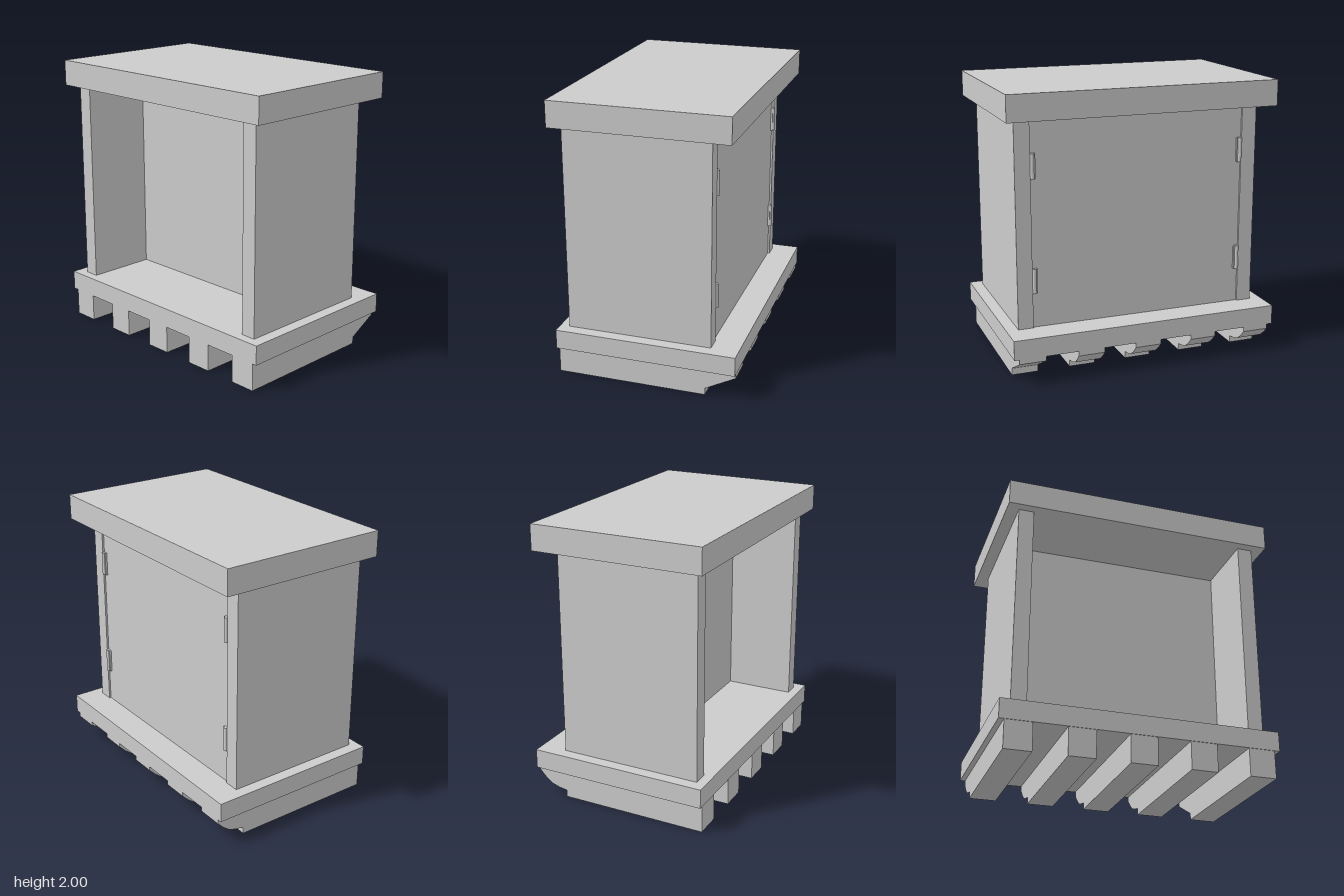
import * as THREE from 'three';

const material = new THREE.MeshStandardMaterial({ color: 0xcccccc, flatShading: true });

export function createModel() {
  const model = new THREE.Group();

  const add = (name, geometry) => {
    const mesh = new THREE.Mesh(geometry, material);
    mesh.name = name;
    model.add(mesh);
    return mesh;
  };
  // Box given by its minimum and maximum corners
  const box = (name, x0, x1, y0, y1, z0, z1) =>
    add(name, new THREE.BoxGeometry(x1 - x0, y1 - y0, z1 - z0))
      .position.set((x0 + x1) / 2, (y0 + y1) / 2, (z0 + z1) / 2);

  // Overhanging top and base slabs
  box('topSlab', -0.98, 0.98, 1.815, 2, -0.605, 0.65);
  box('baseSlab', -0.98, 0.98, 0.2, 0.34, -0.65, 0.65);

  // Cabinet core: alcove at the front, slightly recessed door at the back
  box('cabinetCore', -0.79, 0.79, 0.34, 1.815, -0.443, 0.07);

  for (const side of [-1, 1]) {
    // Side walls
    box('sideWall', side * 0.84 - 0.055, side * 0.84 + 0.055, 0.34, 1.815, -0.457, 0.582);

    // Door hinges: a leaf and a round pin, two on each side
    for (const y of [0.68, 1.487]) {
      box('hingeLeaf', side * 0.767 - 0.018, side * 0.767 + 0.018, y - 0.088, y + 0.088, -0.458, -0.44);
      add('hingePin', new THREE.CylinderGeometry(0.014, 0.014, 0.176, 12))
        .position.set(side * 0.772, y, -0.457);
    }
  }

  // Skid beams, profile drawn as (-z, y); the rear end sweeps up under the base
  const beam = (rear) => {
    const shape = new THREE.Shape([
      [-0.645, 0.2], [-0.645, 0], [0.43, 0], [0.43, 0.05], ...rear, [0.647, 0.165], [0.647, 0.2],
    ].map(([u, v]) => new THREE.Vector2(u, v)));
    return new THREE.ExtrudeGeometry(shape, { depth: 0.19, bevelEnabled: false })
      .translate(0, 0, -0.095).rotateY(Math.PI / 2);
  };
  for (let i = -2; i <= 2; i++) {
    const rear = i === 2 ? [] : [[0.49, 0.06], [0.55, 0.079], [0.6, 0.117]];
    add('skidBeam', beam(rear)).position.x = i * 0.424;
  }

  return model;
}
